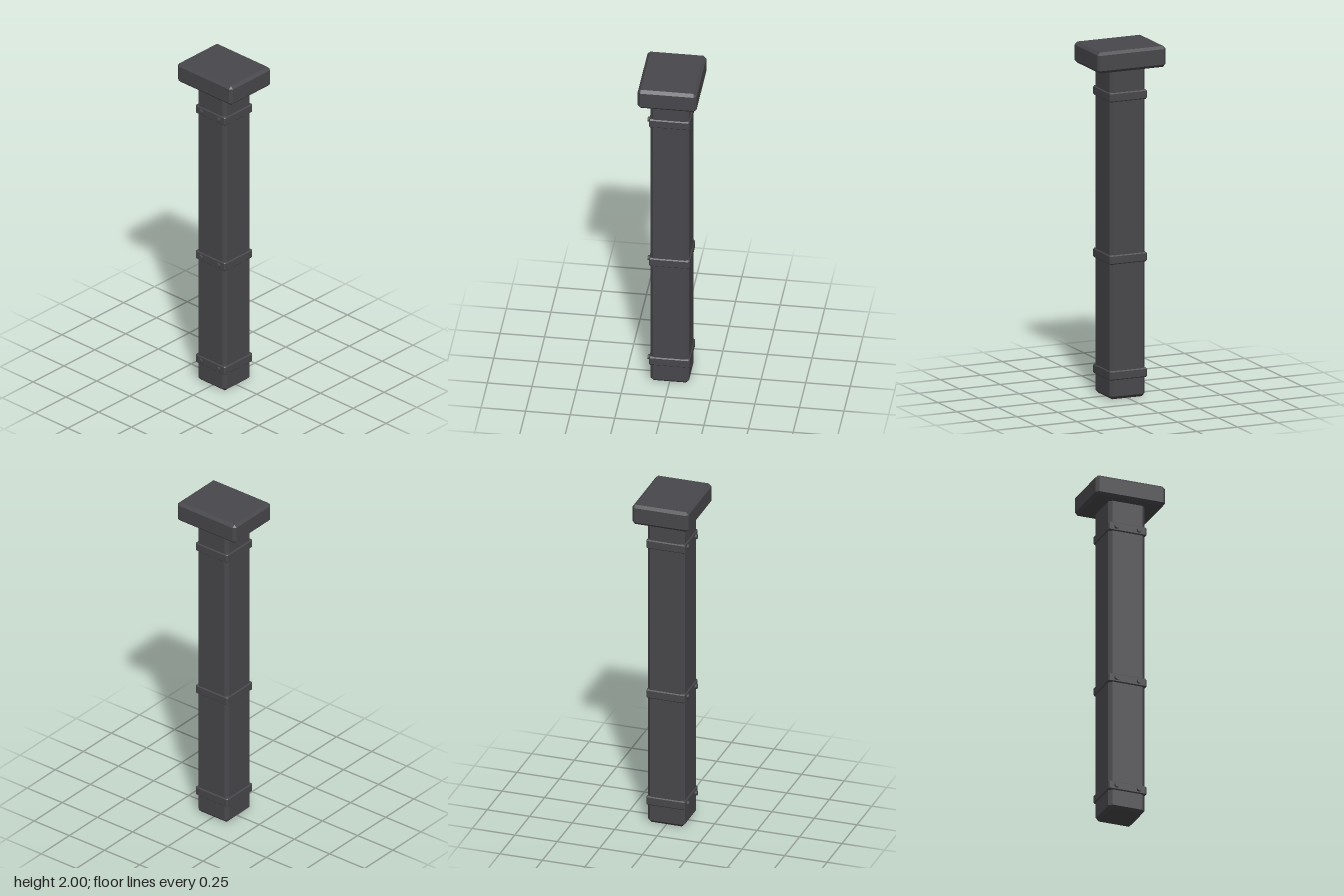
import * as THREE from 'three';
import { ConvexGeometry } from 'three/addons/geometries/ConvexGeometry.js';

// Box with every edge cut by a flat chamfer c
function chamferedBox(w, h, d, c) {
  const half = [w / 2, h / 2, d / 2];
  const points = [];
  for (const sx of [-1, 1]) for (const sy of [-1, 1]) for (const sz of [-1, 1]) {
    for (let axis = 0; axis < 3; axis++) {
      const p = half.map((v, i) => (i === axis ? v : v - c));
      points.push(new THREE.Vector3(sx * p[0], sy * p[1], sz * p[2]));
    }
  }
  return new ConvexGeometry(points);
}

export function createModel() {
  const model = new THREE.Group();
  model.name = 'post';
  const darkMetal = new THREE.MeshStandardMaterial({ color: 0x48484c });
  darkMetal.name = 'dark metal';

  const add = (parent, name, geometry, x, y, z) => {
    const mesh = new THREE.Mesh(geometry, darkMetal);
    mesh.name = name;
    mesh.position.set(x, y, z);
    parent.add(mesh);
    return mesh;
  };

  // Square shaft, its top end set into the cap
  add(model, 'shaft', chamferedBox(0.217, 1.91, 0.217, 0.018), 0, 0.955, 0);

  // Wide cap plate
  add(model, 'cap', chamferedBox(0.418, 0.12, 0.33, 0.016), 0, 1.94, 0);

  // Three bands, each with two bolts on the front
  const bandGeometry = chamferedBox(0.228, 0.055, 0.228, 0.007);
  const boltGeometry = new THREE.CylinderGeometry(0.014, 0.014, 0.024, 12).rotateX(Math.PI / 2);
  for (const y of [0.138, 0.798, 1.724]) {
    const band = new THREE.Group();
    band.name = 'band';
    band.position.y = y;
    add(band, 'bandRing', bandGeometry, 0, 0, 0);
    for (const side of [-1, 1]) add(band, side > 0 ? 'leftBolt' : 'rightBolt', boltGeometry, side * 0.067, 0, 0.114);
    model.add(band);
  }
  return model;
}
